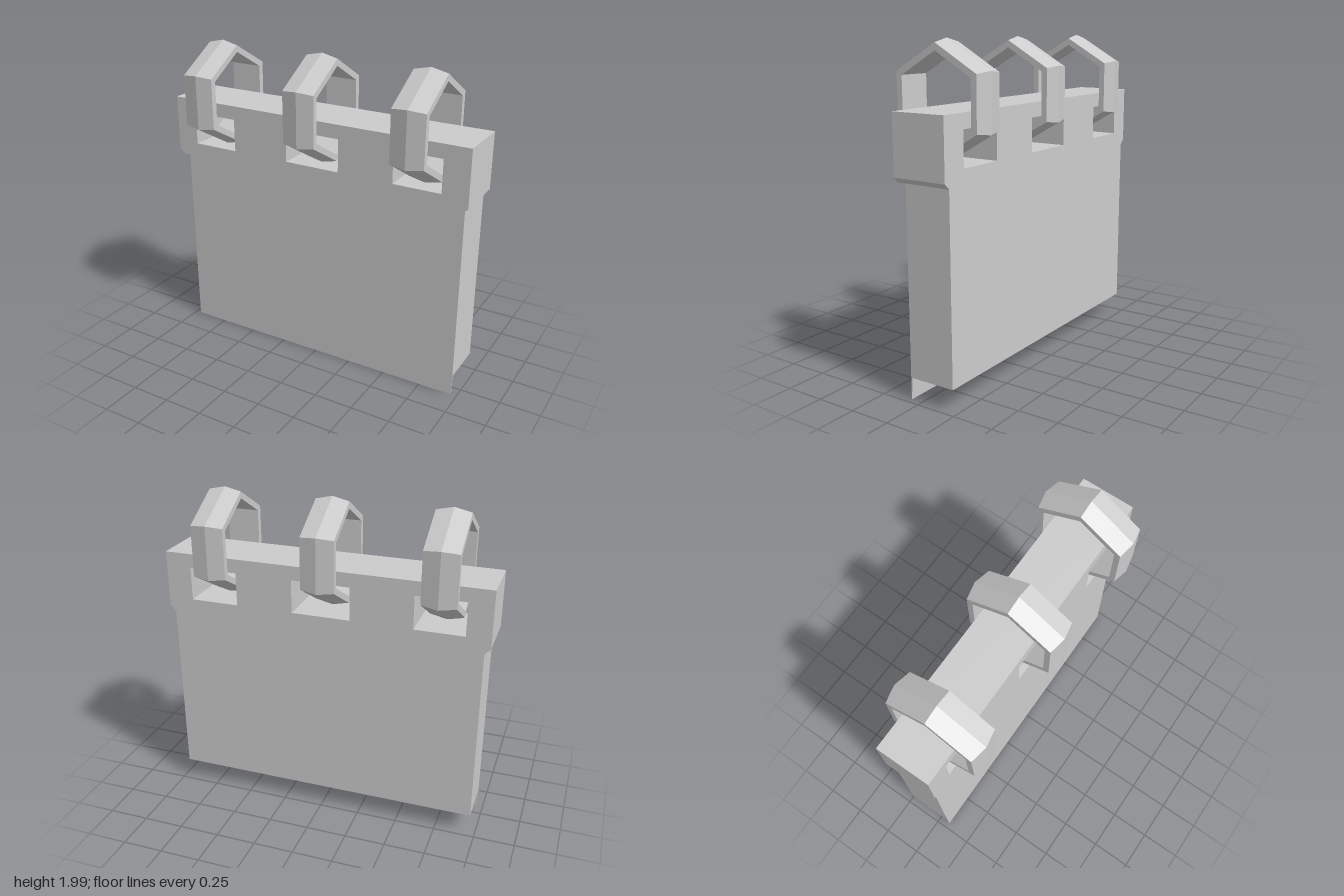
import * as THREE from 'three';

const material = new THREE.MeshStandardMaterial({ color: 0xcccccc, flatShading: true });

function addMesh(parent, name, geometry) {
  const mesh = new THREE.Mesh(geometry, material);
  mesh.name = name;
  parent.add(mesh);
  return mesh;
}

const polygon = (Kind, points) => new Kind(points.map(([x, y]) => new THREE.Vector2(x, y)));

export function createModel() {
  const group = new THREE.Group();
  group.name = 'ringBoundBlock';
  const backZ = -0.22;

  // Main block: side profile (z, y) with a thin lip hanging from the front face
  const bodyHalf = 0.965;
  const bodyProfile = polygon(THREE.Shape, [
    [backZ, 0.13], [0.065, 0.13], [0.071, 0], [0.073, 0], [0.073, 1.23], [backZ, 1.23],
  ]);
  const body = new THREE.ExtrudeGeometry(bodyProfile, { depth: 2 * bodyHalf, bevelEnabled: false });
  body.rotateY(-Math.PI / 2).translate(bodyHalf, 0, 0);
  addMesh(group, 'body', body);

  // Header: wider bar with clipped lower corners and three ring openings
  const headerShape = polygon(THREE.Shape, [
    [-0.965, 1.23], [0.965, 1.23], [1, 1.262], [1, 1.612], [-1, 1.612], [-1, 1.262],
  ]);
  for (const [x0, x1] of [[-0.855, -0.555], [-0.175, 0.185], [0.54, 0.84]]) {
    headerShape.holes.push(polygon(THREE.Path, [[x0, 1.32], [x0, 1.525], [x1, 1.525], [x1, 1.32]]));
  }
  const header = new THREE.ExtrudeGeometry(headerShape, { depth: 0.343, bevelEnabled: false });
  header.translate(0, 0, backZ);
  addMesh(group, 'header', header);

  // Binding rings: six-sided bands with a ridge around the outside
  const half = 0.103;
  const bandSection = [
    [0.312, -half], [0.335, 0], [0.312, half], [0.27, half], [0.27, -half], [0.312, -half],
  ].map(([r, y]) => new THREE.Vector2(r, y));
  const ring = new THREE.LatheGeometry(bandSection, 6, Math.PI / 2);
  ring.rotateZ(Math.PI / 2);
  for (const [name, x] of [['rightRing', -0.703], ['middleRing', 0.005], ['leftRing', 0.688]]) {
    addMesh(group, name, ring).position.set(x, 1.65, 0);
  }

  return group;
}
